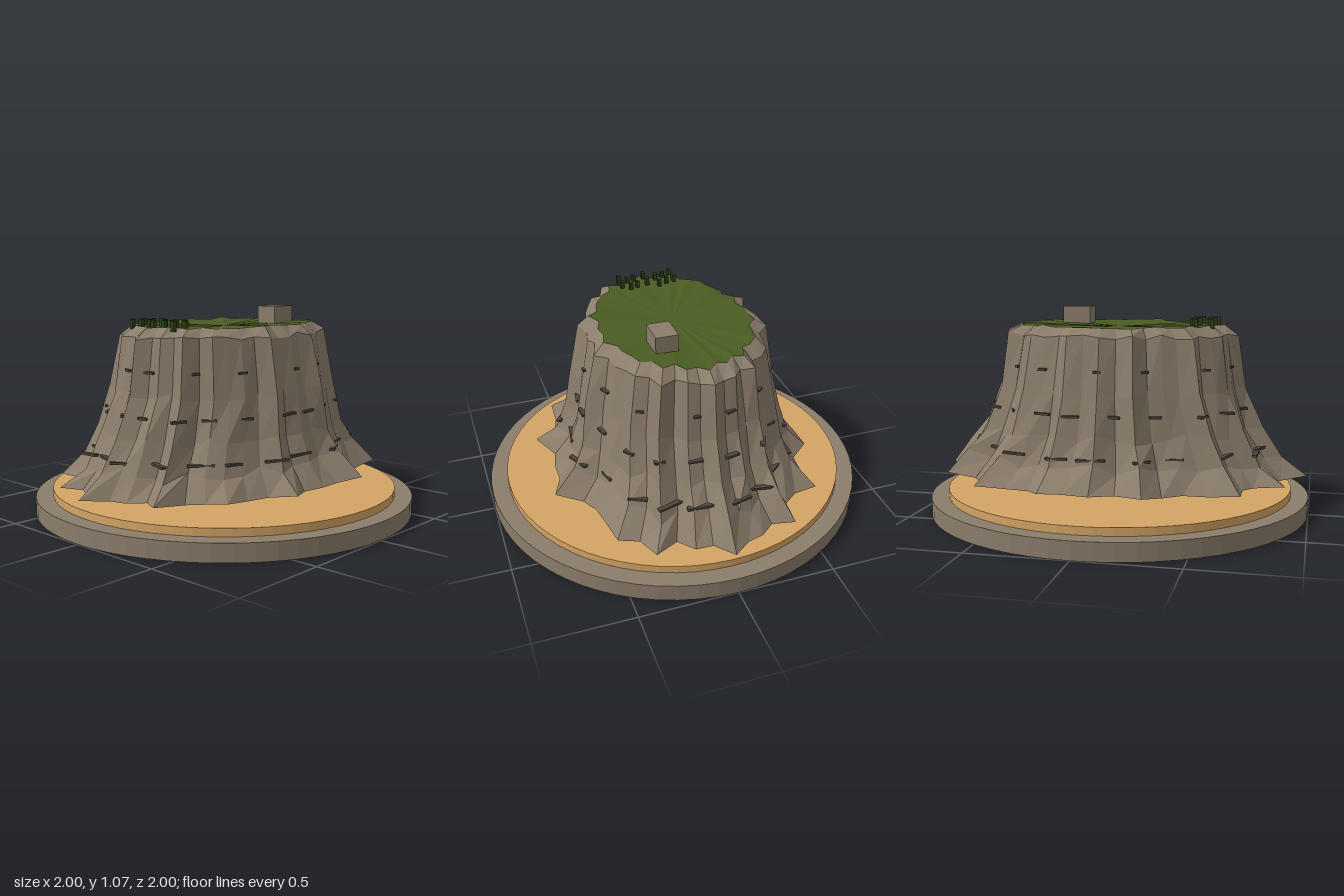
import * as THREE from 'three';

const mat = (name, color, side = THREE.FrontSide) => {
  const m = new THREE.MeshStandardMaterial({ color, side });
  m.name = name;
  return m;
};

// ridge (>1) and gully (<1) multipliers round the mesa, from +x towards the back
const RIDGES = [
  1.06, 1.0, 1.0, 0.97, 1.08, 0.95, 0.98, 1.11, 1.0, 0.96, 1.08, 1.05,
  1.04, 0.95, 1.11, 0.97, 0.94, 1.0, 1.09, 0.97, 0.95, 1.07, 0.96, 0.97,
  1.1, 0.98, 0.97, 0.94, 1.1, 0.95, 0.98, 1.06, 0.98, 0.97, 1.11, 0.97,
  1.0, 1.01, 1.12, 0.96, 0.95, 1.0, 1.08, 1.0, 1.08, 0.93, 0.99, 0.97];
const N = RIDGES.length;

// cliff rings: height, x radius, z radius, ridge strength, height jitter
const RINGS = [
  [0.2, 0.9, 0.66, 1, 0.008],
  [0.31, 0.8, 0.565, 0.65, 0.03],
  [0.45, 0.71, 0.525, 0.6, 0.025],
  [0.66, 0.63, 0.49, 0.5, 0.02],
  [0.935, 0.59, 0.44, 0.5, 0.012],
  [0.98, 0.52, 0.385, 0.5, 0.007]];

function seeded(seed) {
  return () => {
    seed = (seed * 16807) % 2147483647;
    return seed / 2147483647;
  };
}

// flat-shaded geometry from triangles of points
function facets(points) {
  const g = new THREE.BufferGeometry().setFromPoints(points);
  g.computeVertexNormals();
  return g;
}

function flat(geometry) {
  const g = geometry.toNonIndexed();
  g.computeVertexNormals();
  return g;
}

// point on the smooth cliff at angle t and height y
function cliffPoint(t, y) {
  const k = Math.max(0, RINGS.findIndex(r => r[0] > y) - 1);
  const [a, b] = [RINGS[k], RINGS[k + 1]];
  const s = (y - a[0]) / (b[0] - a[0]);
  const mix = j => a[j] + (b[j] - a[j]) * s;
  const u = ((t / (2 * Math.PI)) * N) % N;
  const i = Math.floor(u);
  const ridge = RIDGES[i] + (RIDGES[(i + 1) % N] - RIDGES[i]) * (u - i);
  const f = 1 + (ridge - 1) * mix(3);
  return new THREE.Vector3(mix(1) * f * Math.cos(t), y, -mix(2) * f * Math.sin(t));
}

export function createModel() {
  const model = new THREE.Group();
  model.name = 'mesa';
  const stone = mat('stone', 0x8b7d6b);
  const cliffStone = mat('cliffStone', 0x8b7d6b, THREE.DoubleSide);
  const sand = mat('sand', 0xd4a464);
  const grass = mat('grass', 0x4a5d23, THREE.DoubleSide);
  const crackDark = mat('crackDark', 0x4f453a);
  const shrubGreen = mat('shrubGreen', 0x2d4016);
  const rand = seeded(4711);

  const add = (name, geometry, material, x = 0, y = 0, z = 0, parent = model) => {
    const m = new THREE.Mesh(geometry, material);
    m.name = name;
    m.position.set(x, y, z);
    parent.add(m);
    return m;
  };

  // round base and sand disc
  add('basePlate', flat(new THREE.CylinderGeometry(1, 1, 0.09, 64)), stone, 0, 0.045, 0);
  add('sandDisc', flat(new THREE.CylinderGeometry(0.91, 0.91, 0.04, 64)), sand, 0, 0.11, 0);

  // ridged cliff, flaring towards the foot
  const rings = RINGS.map(([y, rx, rz, strength, jitter], k) =>
    RIDGES.map((ridge, i) => {
      const t = (i / N) * Math.PI * 2;
      const rough = k === 0 ? 0 : (rand() - 0.5) * 0.03 + (i % 2 ? -0.015 : 0.015);
      const f = 1 + (ridge - 1) * strength + rough;
      const dy = (rand() - 0.5) * 2 * jitter + (k === 0 ? (ridge - 1) * 0.08 : 0);
      return new THREE.Vector3(rx * f * Math.cos(t), y + dy, -rz * f * Math.sin(t));
    }));
  const cliff = [];
  for (let k = 0; k < rings.length - 1; k++) {
    for (let i = 0; i < N; i++) {
      const j = (i + 1) % N;
      const [a, b, c, d] = [rings[k][i], rings[k][j], rings[k + 1][j], rings[k + 1][i]];
      cliff.push(a, b, c, a, c, d);
    }
  }
  add('cliff', facets(cliff), cliffStone);

  // grassy top, a fan dipping slightly to the middle
  const rim = rings[rings.length - 1];
  const middle = new THREE.Vector3(0, 0.965, 0);
  add('grassTop', facets(rim.flatMap((p, i) => [middle, p, rim[(i + 1) % N]])), grass);

  // dark horizontal cracks in three bands
  const cracks = new THREE.Group();
  cracks.name = 'cracks';
  model.add(cracks);
  for (const [y, count, length] of [[0.355, 22, 0.11], [0.555, 20, 0.07], [0.77, 14, 0.04]]) {
    for (let n = 0; n < count; n++) {
      const t = ((n + 0.3 + rand() * 0.4) / count) * Math.PI * 2;
      const p = cliffPoint(t, y);
      const q = cliffPoint(t + 0.03, y);
      const size = length * (0.7 + rand() * 0.6);
      const crack = add('crack', new THREE.BoxGeometry(size, 0.012, 0.025), crackDark, p.x, p.y, p.z, cracks);
      crack.rotation.y = Math.atan2(-(q.z - p.z), q.x - p.x);
      crack.rotation.z = (rand() - 0.5) * 0.12;
    }
  }

  // little shrubs in two rows on the right edge of the plateau
  const shrubs = new THREE.Group();
  shrubs.name = 'shrubs';
  model.add(shrubs);
  [-0.15, -0.105, -0.06, 0, 0.06, 0.1, 0.14].forEach((z, i) => {
    for (const x of [-0.49, -0.41]) {
      const dx = ((i % 3) - 1) * 0.017;
      add('shrub', new THREE.BoxGeometry(0.02, 0.05, 0.02), shrubGreen, x + dx, 0.99, z, shrubs);
    }
  });

  // stone block on the plateau
  add('stoneBlock', new THREE.BoxGeometry(0.15, 0.1, 0.115), stone, 0.258, 1.015, 0.135);

  return model;
}
